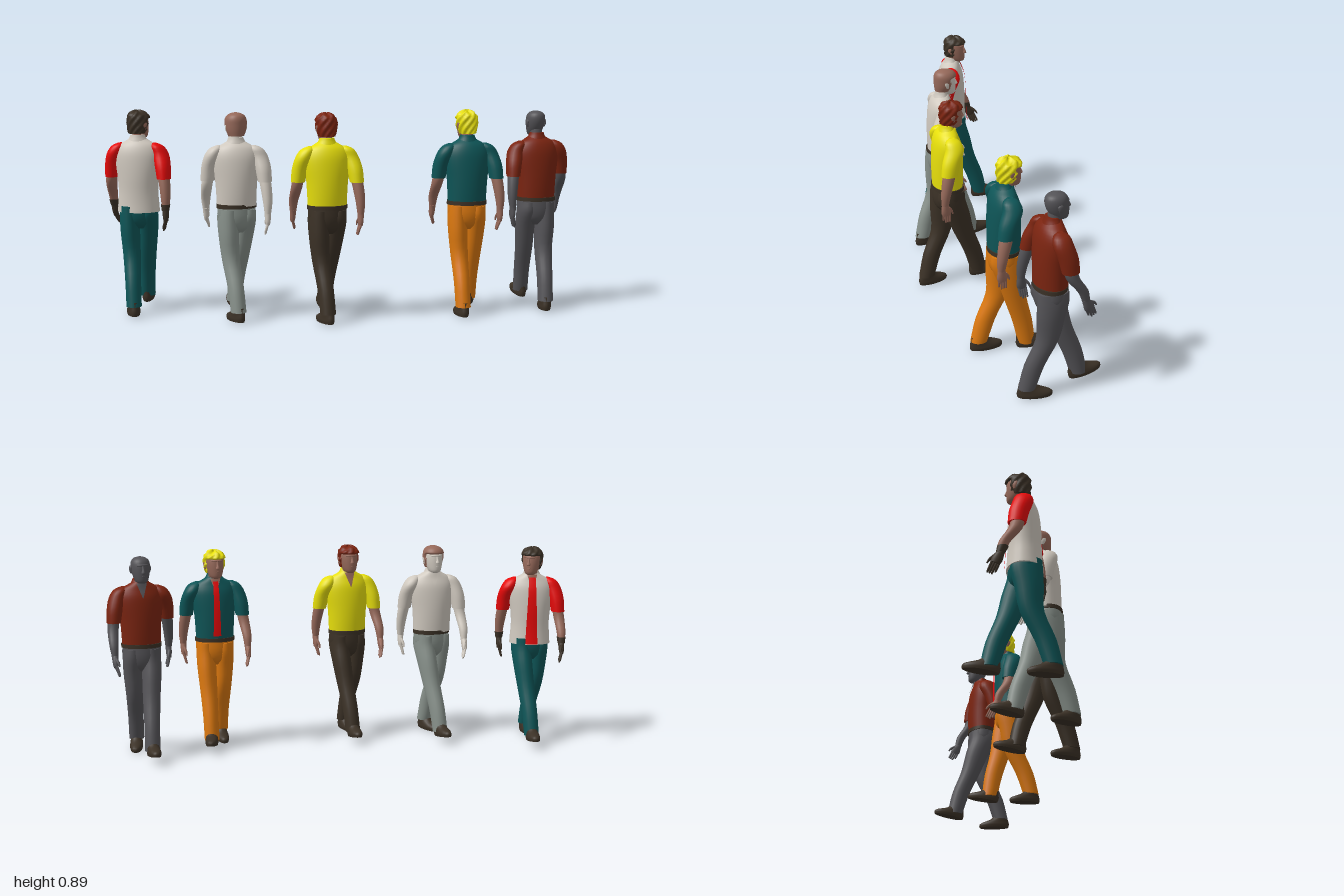
import * as THREE from 'three';

const paint = (name, color) => Object.assign(new THREE.MeshStandardMaterial({ color }), { name });
const M = {
  beige: paint('beige', 0xd0c9bf), tan: paint('tan', 0x96695a), sage: paint('sage', 0x87908a),
  yellow: paint('yellow', 0xece40c), maroon: paint('maroon', 0x7b2410), brown: paint('dark brown', 0x3b3126),
  teal: paint('teal', 0x0e5557), orange: paint('orange', 0xdb780f), red: paint('red', 0xf80b0b),
  gray: paint('gray', 0x545357),
};
const rad = THREE.MathUtils.degToRad;

// Smooth curves through cross-sections given bottom-up as [y, x, z, rx, rz]
function section(rings) {
  const centre = new THREE.CatmullRomCurve3(rings.map(r => new THREE.Vector3(r[1], r[0], r[2])), false, 'catmullrom');
  const radius = new THREE.CatmullRomCurve3(rings.map(r => new THREE.Vector3(r[3], r[4], 0)), false, 'catmullrom');
  return t => ({ c: centre.getPoint(t), r: radius.getPoint(t) });
}

// Closed skin over the cross-sections; rule may move each vertex
function loft(rings, { sides = 20, sub = 3, rule } = {}) {
  const at = section(rings), steps = (rings.length - 1) * sub, pos = [], idx = [];
  for (let i = 0; i <= steps; i++) {
    const { c, r } = at(i / steps);
    for (let j = 0; j < sides; j++) {
      const a = j / sides * Math.PI * 2;
      const p = new THREE.Vector3(c.x + r.x * Math.cos(a), c.y, c.z + r.y * Math.sin(a));
      if (rule) rule(p, a);
      pos.push(p.x, p.y, p.z);
      if (i < steps) {
        const k = i * sides + j, n = i * sides + (j + 1) % sides;
        idx.push(k, k + sides, n, n, k + sides, n + sides);
      }
    }
  }
  // End caps with their own corners
  for (const i of [0, steps]) {
    const base = pos.length / 3, c = at(i / steps).c;
    pos.push(...pos.slice(i * sides * 3, (i + 1) * sides * 3), c.x, c.y, c.z);
    for (let j = 0; j < sides; j++) {
      const a = base + j, b = base + (j + 1) % sides;
      idx.push(base + sides, ...(i ? [b, a] : [a, b]));
    }
  }
  return finish(pos, idx);
}

function finish(pos, idx) {
  const g = new THREE.BufferGeometry();
  g.setAttribute('position', new THREE.Float32BufferAttribute(pos, 3));
  g.setIndex(idx);
  g.computeVertexNormals();
  return g;
}

// Thin patch lying on the chest, tapering from wTop to wBottom
function chestPatch(rings, yTop, yBottom, wTop, wBottom, lift) {
  const at = section(rings), pos = [], idx = [], rows = 14, cols = 4;
  for (let i = 0; i <= rows; i++) {
    const y = THREE.MathUtils.lerp(yTop, yBottom, i / rows);
    let lo = 0, hi = 1;
    for (let k = 0; k < 20; k++) { const m = (lo + hi) / 2; if (at(m).c.y < y) lo = m; else hi = m; }
    const { c, r } = at(lo), w = THREE.MathUtils.lerp(wTop, wBottom, i / rows);
    for (let j = 0; j <= cols; j++) {
      const x = (j / cols - 0.5) * w;
      pos.push(x, y, c.z + r.y * Math.sqrt(Math.max(0, 1 - (x / r.x) ** 2)) + lift);
      if (i < rows && j < cols) {
        const k = i * (cols + 1) + j, d = k + cols + 1;
        idx.push(k, d, k + 1, k + 1, d, d + 1);
      }
    }
  }
  return finish(pos, idx);
}

function add(parent, name, geometry, material) {
  const m = new THREE.Mesh(geometry, material);
  m.name = name;
  parent.add(m);
  return m;
}
function group(parent, name, x = 0, y = 0, z = 0) {
  const g = new THREE.Group();
  g.name = name;
  g.position.set(x, y, z);
  parent.add(g);
  return g;
}

function hand(parent, side, x, y, z, tilt, mat) {
  const h = group(parent, 'hand', x, y, z);
  h.rotation.x = tilt;
  add(h, 'palm', loft([[-.048, 0, 0, .009, .019], [-.03, 0, 0, .012, .022], [0, 0, 0, .014, .016], [.012, 0, 0, .014, .015]], { sides: 12 }), mat);
  for (let i = 0; i < 4; i++) {
    const f = -.0145 + i * .0095, len = i === 0 ? .078 : .09;
    add(h, 'finger', loft([[-len, -side * .012, f, .002, .002], [-len + .006, -side * .01, f, .0045, .0045], [-.042, 0, f, .006, .0055]], { sides: 8, sub: 2 }), mat);
  }
  add(h, 'thumb', loft([[-.055, -side * .01, .031, .003, .003], [-.035, -side * .007, .027, .006, .006], [-.012, 0, .012, .007, .008]], { sides: 8, sub: 2 }), mat);
}

function arm(parent, side, forward, o) {
  const a = group(parent, forward ? 'forwardArm' : 'trailingArm');
  const ez = forward ? .028 : -.042, wz = forward ? .085 : -.06;
  add(a, 'sleeve', loft([[.595, side * .122, ez * .8, .03, .036], [.65, side * .115, ez * .5, .034, .04],
    [.70, side * .101, 0, .035, .041], [.733, side * .086, -.002, .028, .033], [.747, side * .075, -.002, .01, .012]]), o.sleeve || o.shirt);
  add(a, 'forearm', loft([[.462, side * .133, wz, .014, .016], [.51, side * .133, wz * .72 + ez * .28, .02, .022],
    [.57, side * .127, ez, .024, .027], [.63, side * .117, ez * .6, .025, .028]]), o.skin);
  if (o.gloves) add(a, 'gloveCuff', loft([[.46, side * .133, wz, .016, .018], [.487, side * .133, wz * .85 + ez * .15, .02, .022]]), o.gloves);
  hand(a, side, side * .133, .46, wz, forward ? -.45 : -.12, o.gloves || o.skin);
}

function leg(parent, side, forward, o) {
  const l = group(parent, forward ? 'forwardLeg' : 'trailingLeg');
  const z = forward ? (o.step || .135) : -.1, k = forward ? z * .45 : -.02, x = side * .027;
  add(l, 'trouserLeg', loft([[.045, x, z, .033, .036], [.15, x * 1.1, z * .62 + k * .38, .034, .042],
    [.26, x * 1.25, k, .038, .047], [.36, side * .039, k * .45, .042, .057], [.43, side * .04, 0, .043, .064], [.475, side * .04, 0, .04, .062]]), o.trousers);
  const s = group(l, 'shoe', x, forward ? .024 : .004, z);
  s.rotation.x = forward ? -.15 : .03;
  s.rotation.y = side * .12;
  add(s, 'shoeBody', loft([[0, 0, .032, .026, .07], [.012, 0, .032, .029, .073], [.024, 0, .027, .028, .068],
    [.04, 0, .008, .026, .045], [.06, 0, -.003, .024, .031]]), M.brown);
}

function head(parent, o) {
  const h = group(parent, 'head', 0, 0, .022);
  h.rotation.y = -rad(o.look || 0);
  add(h, 'skull', loft([[.764, 0, .02, .014, .017], [.773, 0, .017, .026, .031], [.80, 0, .007, .036, .043], [.83, 0, 0, .041, .048],
    [.855, 0, -.003, .039, .045], [.87, 0, -.004, .027, .032], [.877, 0, -.004, .006, .008]], { sides: 28 }), o.skin);
  add(h, 'nose', loft([[.806, 0, .05, .003, .003], [.81, 0, .052, .009, .009], [.825, 0, .048, .005, .007], [.842, 0, .043, .004, .004]], { sides: 10 }), o.skin);
  add(h, 'lips', loft([[.788, 0, .043, .008, .004], [.794, 0, .044, .012, .007], [.8, 0, .044, .007, .005]], { sides: 10 }), o.skin);
  add(h, 'brow', loft([[.838, 0, .03, .024, .014], [.843, 0, .03, .028, .019], [.849, 0, .03, .022, .014]], { sides: 14 }), o.skin);
  for (const s of [-1, 1])
    add(h, 'ear', loft([[.805, s * .039, -.004, .004, .006], [.818, s * .042, -.006, .005, .01], [.832, s * .042, -.007, .005, .012], [.838, s * .041, -.006, .003, .006]], { sides: 10 }), o.skin);
  // Hair cap tucked inside the skull around the face
  if (o.hair) add(h, 'hair', loft([[.787, 0, -.012, .034, .037], [.81, 0, -.006, .043, .046], [.835, 0, -.001, .047, .052],
    [.858, 0, 0, .046, .052], [.875, 0, -.002, .035, .041], [.884, 0, -.003, .016, .02], [.886, 0, -.003, .003, .004]], {
    sides: 36, sub: 4, rule: (p, a) => {
      const w = 1 + (o.tousled || 0) * Math.sin(a * 9 + p.y * 160);
      const f = p.z > .016 && p.y < .848 ? .72 : w;
      p.x *= f; p.z *= f;
      if (p.y > .87) p.y += (o.tousled || 0) * .08 * Math.sin(a * 5);
    } }), o.hair);
}

function person(parent, o) {
  const g = group(parent, 'walker', o.x, 0, o.z), m = o.mirror ? -1 : 1;
  g.rotation.y = Math.PI - rad(o.yaw);
  // Lower body
  add(g, 'hips', loft([[.375, 0, 0, .035, .035], [.40, 0, 0, .066, .057], [.44, 0, 0, .083, .066], [.49, 0, 0, .083, .064]]), o.trousers);
  leg(g, -m, true, o);
  leg(g, m, false, o);
  if (o.belt) add(g, 'belt', loft([[.481, 0, 0, .0875, .0685], [.498, 0, 0, .0875, .0685]], { sides: 28 }), M.brown);
  // Upper body, twisted with the stride
  const u = group(g, 'upperBody');
  u.rotation.y = -rad(o.twist || 0);
  const hem = o.untucked ? [[.448, 0, 0, .092, .073], [.49, 0, 0, .089, .069]] : [[.49, 0, 0, .084, .065]];
  const torso = [...hem, [.54, 0, 0, .086, .067], [.60, 0, 0, .09, .067], [.66, 0, 0, .097, .064],
    [.705, 0, 0, .096, .058], [.738, 0, 0, .08, .046], [.757, 0, .005, .05, .036], [.768, 0, .009, .032, .03]];
  add(u, 'shirt', loft(torso, { sides: 28 }), o.shirt);
  add(u, 'neck', loft([[.74, 0, .006, .029, .029], [.765, 0, .012, .027, .028], [.80, 0, .016, .026, .028]]), o.skin);
  add(u, 'collar', loft([[.752, 0, .004, .046, .038], [.77, 0, .008, .036, .036], [.782, 0, .006, .031, .031]], {
    sides: 28, rule: p => { if (p.z > .012) p.y -= (p.z - .012) * .9; } }), o.shirt);
  add(u, 'openNeck', chestPatch(torso, .764, .7, .046, .002, .006), o.skin);
  if (o.tie) add(u, 'tie', chestPatch(torso, .752, o.tie[0], o.tie[1], o.tie[2], .008), M.red);
  arm(u, m, true, o);
  arm(u, -m, false, o);
  head(u, o);
}

export function createModel() {
  const model = new THREE.Group();
  model.name = 'walkingGroup';
  [
    { x: -.85, z: -.165, yaw: 11, twist: 13, look: 24, skin: M.tan, hair: M.brown, tousled: .05, shirt: M.beige, sleeve: M.red,
      trousers: M.teal, gloves: M.brown, untucked: true, tie: [.452, .03, .055] },
    { x: -.47, z: .075, yaw: -4, twist: 18, look: -10, skin: M.beige, hair: M.tan, shirt: M.beige, trousers: M.sage, belt: true },
    { x: -.11, z: .225, yaw: 0, twist: 6, look: -4, skin: M.tan, hair: M.maroon, tousled: .05, shirt: M.yellow, trousers: M.brown, belt: true },
    { x: .51, z: .28, yaw: 13, twist: -5, look: -8, skin: M.tan, hair: M.yellow, tousled: .07, shirt: M.teal, trousers: M.orange,
      belt: true, step: .09, tie: [.51, .022, .034] },
    { x: .85, z: .262, yaw: 11, twist: -8, look: -3, mirror: true, skin: M.gray, shirt: M.maroon, trousers: M.gray, belt: true },
  ].forEach(o => person(model, o));
  return model;
}
